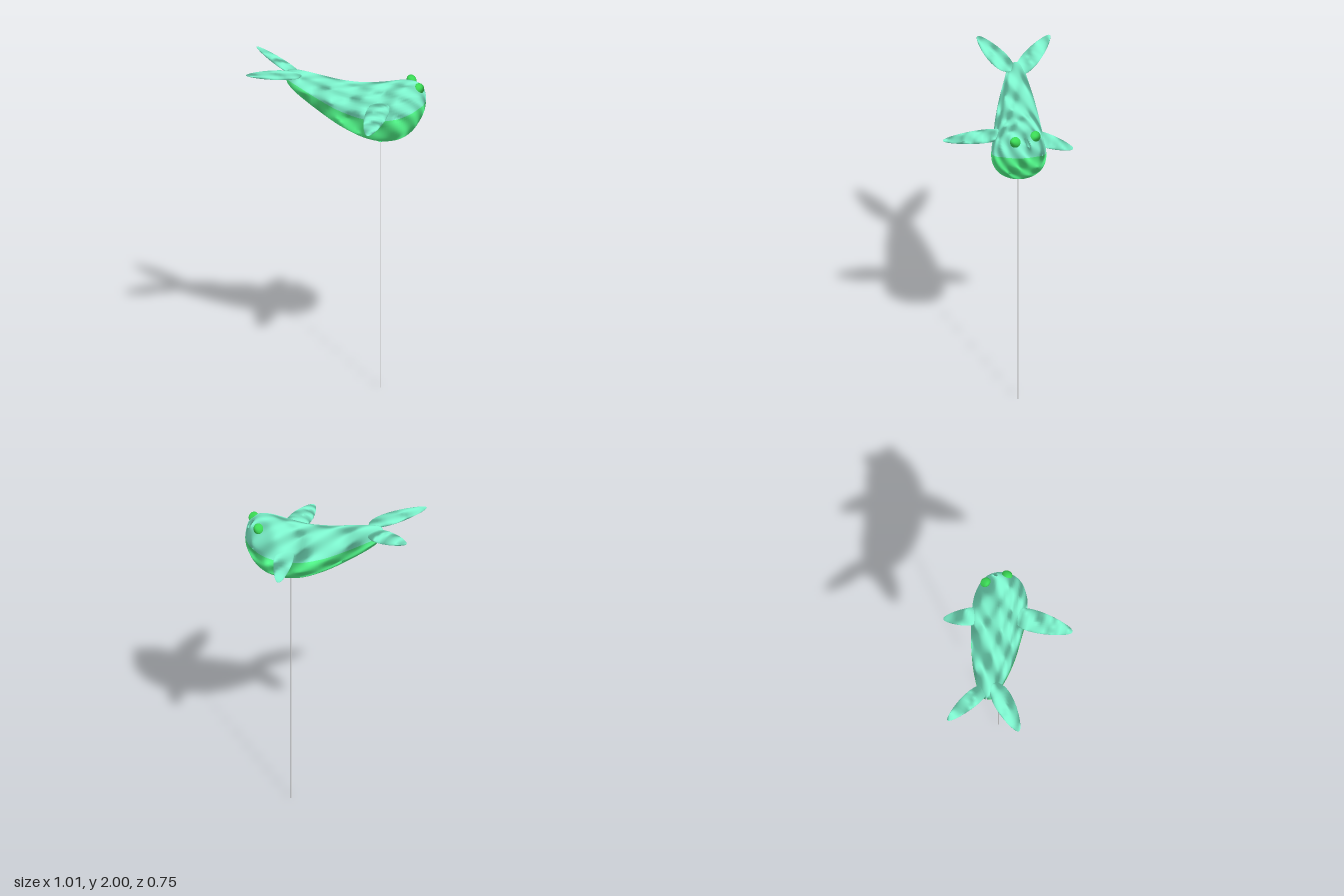
import * as THREE from 'three';

const V = (x, y, z) => new THREE.Vector3(x, y, z);
const teal = new THREE.MeshStandardMaterial({ color: 0x7cf2cc });
const green = new THREE.MeshStandardMaterial({ color: 0x50f488 });
const eyeGreen = new THREE.MeshStandardMaterial({ color: 0x3ada55 });
const grey = new THREE.MeshStandardMaterial({ color: 0xcccccc });

// Body stations from tail to snout: x, top y, bottom y, half width, centre z
const STATIONS = [
  [-0.305, 1.93, 1.9, 0.004, -0.062],
  [-0.28, 1.947, 1.855, 0.046, -0.06],
  [-0.22, 1.945, 1.795, 0.066, -0.06],
  [-0.1, 1.918, 1.705, 0.1, -0.06],
  [0.02, 1.892, 1.625, 0.125, -0.06],
  [0.15, 1.882, 1.562, 0.143, -0.062],
  [0.26, 1.892, 1.543, 0.154, -0.061],
  [0.36, 1.908, 1.562, 0.155, -0.06],
  [0.43, 1.908, 1.612, 0.135, -0.06],
  [0.475, 1.885, 1.68, 0.102, -0.06],
  [0.498, 1.845, 1.735, 0.06, -0.06],
  [0.505, 1.791, 1.789, 0.001, -0.06],
];

// Crumpled-foil sheen: sway the shading normals in lengthwise streaks
function crinkle(geometry, strength) {
  const p = geometry.attributes.position, n = geometry.attributes.normal;
  const v = V(0, 0, 0);
  for (let i = 0; i < p.count; i++) {
    const x = p.getX(i), y = p.getY(i), z = p.getZ(i);
    v.fromBufferAttribute(n, i);
    v.x += strength * Math.sin(31 * x + 38 * z + 17 * y);
    v.y += strength * 0.8 * Math.sin(23 * x - 61 * z + 43 * y + 1.3);
    v.z += strength * Math.sin(19 * x + 57 * z - 49 * y + 2.6);
    v.normalize();
    n.setXYZ(i, v.x, v.y, v.z);
  }
}

// Egg-shaped rings, shared by the teal back and the green belly
function bodyGeometries(rings = 70, sides = 64) {
  const outline = new THREE.CatmullRomCurve3(STATIONS.map(s => V(s[0], s[1], s[2])), false, 'catmullrom', 0.5);
  const plan = new THREE.CatmullRomCurve3(STATIONS.map(s => V(s[0], s[3], s[4])), false, 'catmullrom', 0.5);
  const pos = [], back = [], belly = [];
  for (let i = 0; i <= rings; i++) {
    const o = outline.getPoint(i / rings), p = plan.getPoint(i / rings);
    for (let j = 0; j < sides; j++) {
      const a = (j / sides) * Math.PI * 2, c = Math.cos(a);
      const y = (o.y + o.z) / 2 + c * (o.y - o.z) / 2;
      pos.push(o.x, y, p.z + Math.max(p.y, 0.001) * Math.sin(a) * (1 - 0.14 * c));
    }
  }
  for (let i = 0; i < rings; i++) {
    for (let j = 0; j < sides; j++) {
      const k = (j + 1) % sides;
      const a = i * sides + j, b = i * sides + k, c = a + sides, d = b + sides;
      const low = j >= sides / 4 && j < sides * 3 / 4;
      (low ? belly : back).push(a, b, c, b, d, c);
    }
  }
  const whole = new THREE.BufferGeometry();
  whole.setAttribute('position', new THREE.Float32BufferAttribute(pos, 3));
  whole.setIndex([...back, ...belly]);
  whole.computeVertexNormals();
  crinkle(whole, 0.75);
  return [back, belly].map(index => {
    const g = whole.clone();
    g.setIndex(index);
    return g;
  });
}

// Flat tapered leaf running from root to tip
function fin(name, root, tip, across, halfWidth, halfThick) {
  const g = new THREE.SphereGeometry(1, 32, 24);
  const p = g.attributes.position;
  for (let i = 0; i < p.count; i++) {
    const s = 1 - 0.3 * p.getY(i);
    p.setX(i, p.getX(i) * s);
    p.setZ(i, p.getZ(i) * s);
  }
  const along = tip.clone().sub(root);
  const dir = along.clone().normalize();
  const wide = across.clone().addScaledVector(dir, -across.dot(dir)).normalize();
  const thick = wide.clone().cross(dir);
  const m = new THREE.Matrix4().makeBasis(
    wide.multiplyScalar(halfWidth), along.multiplyScalar(0.5), thick.multiplyScalar(halfThick));
  m.setPosition(root.clone().add(tip).multiplyScalar(0.5));
  g.applyMatrix4(m);
  crinkle(g, 0.75);
  const mesh = new THREE.Mesh(g, teal);
  mesh.name = name;
  return mesh;
}

export function createModel() {
  const model = new THREE.Group();
  model.name = 'whaleBalloon';
  const add = (name, geometry, material) => {
    const mesh = new THREE.Mesh(geometry, material);
    mesh.name = name;
    model.add(mesh);
    return mesh;
  };

  // Body
  const [back, belly] = bodyGeometries();
  add('back', back, teal);
  add('belly', belly, green);

  // Flippers and tail flukes
  model.add(
    fin('frontFlipper', V(0.262, 1.805, 0.0), V(0.222, 1.742, 0.372), V(0.95, 0.05, 0), 0.064, 0.025),
    fin('rearFlipper', V(0.25, 1.79, -0.11), V(0.235, 1.682, -0.375), V(0.9, -0.15, 0.05), 0.058, 0.02),
    fin('frontFluke', V(-0.21, 1.93, -0.03), V(-0.505, 1.987, 0.15), V(0.18, -0.01, 0.29), 0.056, 0.019),
    fin('rearFluke', V(-0.22, 1.905, -0.07), V(-0.492, 1.995, -0.262), V(0.18, -0.09, -0.26), 0.05, 0.018),
  );

  // Low bulging eyes, turned outward
  for (const [x, y, z, side] of [[0.412, 1.88, -0.153, -0.12], [0.471, 1.878, -0.036, 0.03]]) {
    const eye = add('eye', new THREE.SphereGeometry(0.031, 24, 16), eyeGreen);
    crinkle(eye.geometry, 0.5);
    eye.scale.set(1, 1, 0.85);
    eye.position.set(x, y, z);
    eye.lookAt(x + 0.12, y + 0.06, z + side);
  }

  // Knot and string
  const knot = add('knot', new THREE.ConeGeometry(0.012, 0.025, 12), green);
  knot.position.set(0.243, 1.542, -0.058);
  const string = add('string', new THREE.CylinderGeometry(0.0022, 0.0022, 1.54, 8), grey);
  string.position.set(0.243, 0.77, -0.058);

  return model;
}
